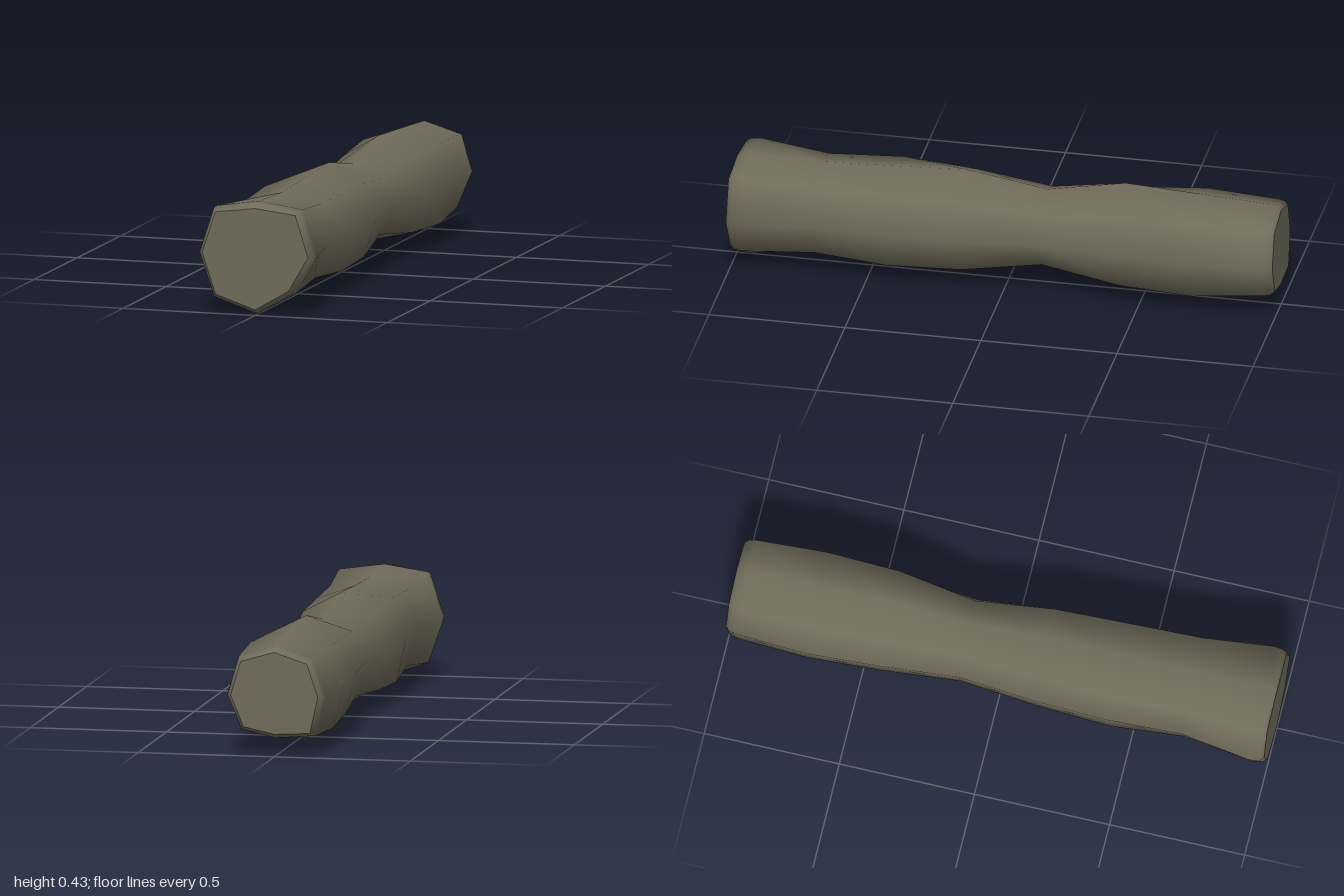
import * as THREE from 'three';

const SIDES = 8;
const CENTRE_Y = 0.22;

// Cross-sections along the log: z, then the radius at every 45 degrees from +x through +y
const SECTIONS = [
  [0.95, 0.22, 0.235, 0.19, 0.233, 0.22, 0.232, 0.22, 0.198],
  [0.69, 0.177, 0.205, 0.18, 0.2, 0.18, 0.195, 0.173, 0.178],
  [0.42, 0.19, 0.197, 0.19, 0.215, 0.19, 0.22, 0.187, 0.2],
  [0.15, 0.18, 0.188, 0.203, 0.195, 0.18, 0.205, 0.173, 0.19],
  [-0.14, 0.15, 0.15, 0.155, 0.157, 0.155, 0.175, 0.148, 0.142],
  [-0.43, 0.18, 0.2, 0.21, 0.185, 0.18, 0.203, 0.167, 0.192],
  [-0.7, 0.19, 0.21, 0.195, 0.205, 0.195, 0.218, 0.19, 0.207],
  [-0.96, 0.18, 0.195, 0.18, 0.19, 0.18, 0.205, 0.158, 0.18],
];

function ring([z, ...radii], inset = 0, newZ = z) {
  return radii.map((r, i) => {
    const a = (i / SIDES) * Math.PI * 2;
    return new THREE.Vector3(Math.cos(a) * (r - inset), CENTRE_Y + Math.sin(a) * (r - inset), newZ);
  });
}

function makeGeometry(points, index) {
  const geometry = new THREE.BufferGeometry().setFromPoints(points);
  geometry.setIndex(index);
  geometry.computeVertexNormals();
  return geometry;
}

// Smooth skin joining the rings, listed from front to back
function skin(rings) {
  const index = [];
  for (let j = 0; j < rings.length - 1; j++) {
    for (let i = 0; i < SIDES; i++) {
      const a = j * SIDES + i;
      const b = j * SIDES + ((i + 1) % SIDES);
      index.push(a, a + SIDES, b, b, a + SIDES, b + SIDES);
    }
  }
  return makeGeometry(rings.flat(), index);
}

// Flat end of the log
function cap(points, facesFront) {
  const index = [];
  for (let i = 0; i < SIDES; i++) {
    const n = (i + 1) % SIDES;
    index.push(SIDES, facesFront ? i : n, facesFront ? n : i);
  }
  return makeGeometry([...points, new THREE.Vector3(0, CENTRE_Y, points[0].z)], index);
}

export function createModel() {
  const group = new THREE.Group();
  group.name = 'log';
  const material = new THREE.MeshStandardMaterial({ color: 0x706b5a });
  const add = (name, geometry) => {
    const mesh = new THREE.Mesh(geometry, material);
    mesh.name = name;
    group.add(mesh);
  };

  // Rounded rims at both ends
  const front = SECTIONS[0];
  const back = SECTIONS[SECTIONS.length - 1];
  const frontRim = ring(front, 0.02, 1);
  const backRim = ring(back, 0.02, -1);
  add('trunk', skin([
    frontRim,
    ring(front, 0.005, 0.985),
    ...SECTIONS.map((s) => ring(s)),
    ring(back, 0.005, -0.985),
    backRim,
  ]));

  // Cut ends
  add('frontEnd', cap(frontRim, true));
  add('backEnd', cap(backRim, false));
  return group;
}
